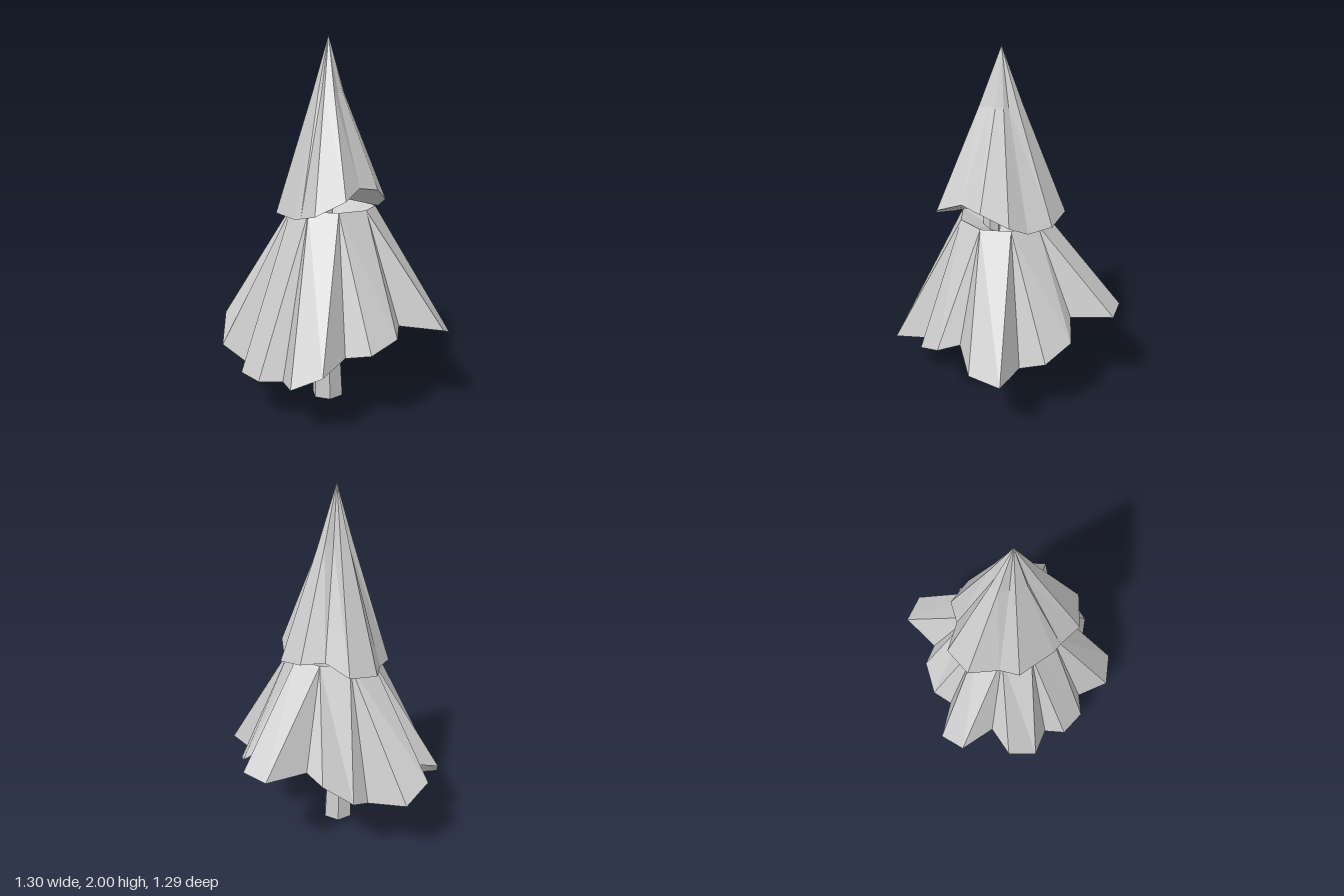
import * as THREE from 'three';

const material = new THREE.MeshStandardMaterial({ color: 0xcccccc, flatShading: true });
const points = (lobes) => lobes.flat().map((p) => new THREE.Vector3(...p));

// Pleated skirt: rim and ring loops of equal length, a tip or lid, and an underside.
// Neighbouring ring points may coincide where several folds meet.
function foliage(name, rim, ring, top, under) {
  const corners = [];
  const triangle = (a, b, c) => {
    if (!a.equals(b) && !b.equals(c) && !c.equals(a)) corners.push(a, b, c);
  };
  rim.forEach((a, i) => {
    const next = (i + 1) % rim.length;
    triangle(a, ring[i], ring[next]);
    triangle(a, ring[next], rim[next]);
    triangle(ring[i], top, ring[next]);
    triangle(a, rim[next], under);
  });
  const geometry = new THREE.BufferGeometry().setFromPoints(corners);
  geometry.computeVertexNormals();
  const mesh = new THREE.Mesh(geometry, material);
  mesh.name = name;
  return mesh;
}

// Lower tier: each lobe is [tip, tip, notch]; both sides of a notch fold up to one ring point
function lowerBranches() {
  const lobes = [
    [[0.65, 0.41, -0.07], [0.65, 0.47, 0.09], [0.43, 0.5, 0.18]],
    [[0.455, 0.47, 0.3], [0.355, 0.41, 0.42], [0.22, 0.385, 0.43]],
    [[0.17, 0.345, 0.62], [0.01, 0.27, 0.645], [-0.1, 0.235, 0.49]],
    [[-0.22, 0.235, 0.53], [-0.36, 0.235, 0.45], [-0.38, 0.235, 0.33]],
    [[-0.55, 0.315, 0.305], [-0.61, 0.45, 0.15], [-0.5, 0.5, 0.02]],
    [[-0.655, 0.51, -0.12], [-0.6, 0.43, -0.27], [-0.38, 0.385, -0.28]],
    [[-0.35, 0.43, -0.39], [-0.21, 0.54, -0.47], [-0.1, 0.58, -0.445]],
    [[0.02, 0.595, -0.65], [0.18, 0.595, -0.62], [0.22, 0.6, -0.39]],
    [[0.335, 0.51, -0.405], [0.44, 0.43, -0.28], [0.43, 0.385, -0.14]],
  ];
  const rim = points(lobes);
  const ring = rim.map((_, i) => {
    const lobe = Math.floor((i + rim.length - 1) / 3) % lobes.length;
    const notch = rim[3 * lobe + 2];
    const a = Math.atan2(notch.z - 0.02, notch.x);
    return new THREE.Vector3(0.235 * Math.cos(a), 1.09, 0.02 + 0.235 * Math.sin(a));
  });
  return foliage('lowerBranches', rim, ring, new THREE.Vector3(0, 0.97, 0.02), new THREE.Vector3(-0.01, 0.6, -0.01));
}

// Upper tier: tips run almost straight to the apex, notches sink deeper
function upperBranches() {
  const rim = points([
    [[0.28, 1.13, -0.06], [0.28, 1.2, 0.09], [0.215, 1.22, 0.2]],
    [[0.19, 1.17, 0.34], [0.04, 1.09, 0.385], [-0.07, 1.06, 0.305]],
    [[-0.12, 1.05, 0.28], [-0.29, 1.05, 0.13], [-0.29, 1.05, 0.02]],
    [[-0.35, 1.07, -0.14], [-0.26, 1.09, -0.275], [-0.11, 1.14, -0.26]],
    [[0, 1.13, -0.325], [0.155, 1.1, -0.27], [0.21, 1.075, -0.15]],
  ]);
  const apex = new THREE.Vector3(-0.02, 2, 0.025);
  const ring = rim.map((p, i) => {
    const inward = i < 2 ? 0.78 : i % 3 === 2 ? 0.8 : 0.95;
    const t = (inward * 0.3) / (2 - p.y);
    return new THREE.Vector3(apex.x + (p.x - apex.x) * t, 1.7, apex.z + (p.z - apex.z) * t);
  });
  return foliage('upperBranches', rim, ring, apex, new THREE.Vector3(-0.02, 1.15, 0.04));
}

// Tapered six-sided trunk, leaning slightly forward
function trunk() {
  const height = 1.2;
  const geometry = new THREE.CylinderGeometry(0.042, 0.09, height, 6);
  geometry.rotateY(Math.PI / 6);
  geometry.translate(0, height / 2, 0);
  const p = geometry.attributes.position;
  for (let i = 0; i < p.count; i++) p.setZ(i, p.getZ(i) + 0.04 * p.getY(i) / height);
  geometry.computeVertexNormals();
  const mesh = new THREE.Mesh(geometry, material);
  mesh.position.set(-0.02, 0, 0.05);
  mesh.name = 'trunk';
  return mesh;
}

export function createModel() {
  const tree = new THREE.Group();
  tree.name = 'tree';
  tree.add(trunk(), lowerBranches(), upperBranches());
  return tree;
}
